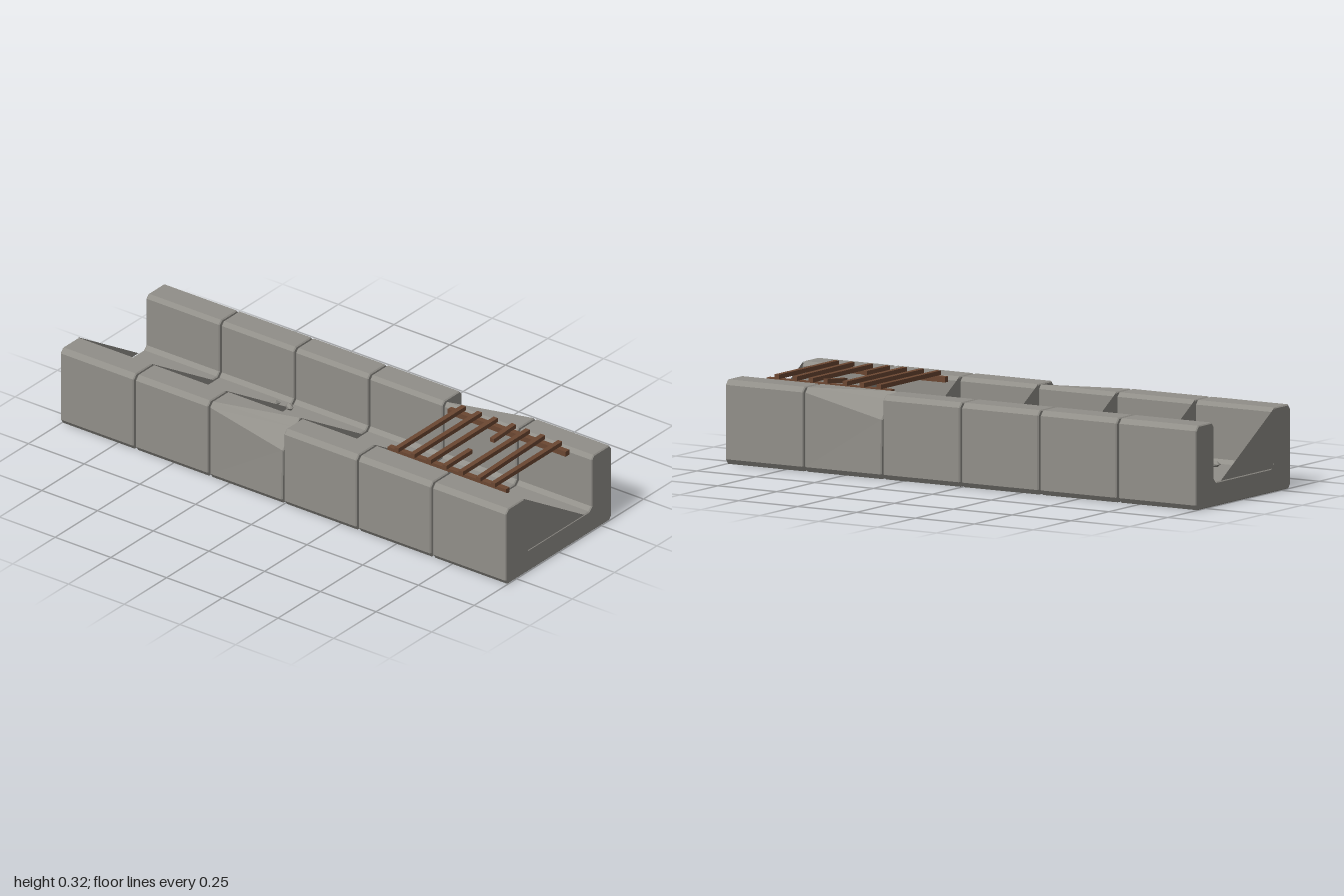
import * as THREE from 'three';

const concrete = new THREE.MeshStandardMaterial({ color: 0x918f89, side: THREE.DoubleSide, flatShading: true });
concrete.name = 'concrete';
const rust = new THREE.MeshStandardMaterial({ color: 0x6b4732, flatShading: true });
rust.name = 'rustyIron';

const COUNT = 6, PITCH = 2 / COUNT, GAP = 0.008, BEVEL = 0.004;

// Channel cross-section as [z, y], chamfered at the corners
const PROFILE = [
  [0.300, 0], [0.313, 0.018], [0.313, 0.287], [0.297, 0.305], [0.207, 0.305], [0.194, 0.290],
  [0.194, 0.102], [0.180, 0.087], [-0.180, 0.087], [-0.194, 0.102], [-0.194, 0.290],
  [-0.207, 0.305], [-0.297, 0.305], [-0.313, 0.287], [-0.313, 0.018], [-0.300, 0],
];

function segmentGeometry(x0, x1, chip) {
  // shape x is -z, so that turning it lays the extrusion along x
  const shape = new THREE.Shape(PROFILE.map(([z, y]) => new THREE.Vector2(-z, y)));
  const geo = new THREE.ExtrudeGeometry(shape, {
    depth: x1 - x0 - 2 * BEVEL, steps: 1, bevelEnabled: true, bevelSegments: 1,
    bevelThickness: BEVEL, bevelSize: BEVEL, bevelOffset: -BEVEL,
  });
  geo.rotateY(Math.PI / 2);
  geo.translate(x0 + BEVEL, 0, 0);
  if (chip) {
    // Knock down the outer top edge at one end of the block
    const p = geo.attributes.position;
    for (let i = 0; i < p.count; i++) {
      const x = p.getX(i), y = p.getY(i), z = p.getZ(i) * chip.side;
      if (Math.abs(x - chip.x) > 0.02 || z < 0.25 || y < 0.25) continue;
      const top = y > 0.294;
      p.setY(i, y - (top ? 0.025 : 0.072));
      p.setZ(i, (z - (top ? chip.inset : 0.006)) * chip.side);
    }
    geo.computeVertexNormals();
  }
  return geo;
}

// Thin sloped gusset sheet closing part of each block end
function gussetGeometry(x) {
  const geo = new THREE.BufferGeometry();
  geo.setAttribute('position', new THREE.Float32BufferAttribute(
    [x, 0.305, 0.205, x, 0.087, 0.196, x, 0.087, -0.150], 3));
  geo.computeVertexNormals();
  return geo;
}

function addMesh(parent, name, geo, material) {
  const mesh = new THREE.Mesh(geo, material);
  mesh.name = name;
  parent.add(mesh);
  return mesh;
}

function addBox(parent, name, size, position) {
  const mesh = addMesh(parent, name, new THREE.BoxGeometry(...size), rust);
  mesh.position.set(...position);
  return mesh;
}

export function createModel() {
  const model = new THREE.Group();
  model.name = 'drainageChannel';

  // Concrete blocks, two of them chipped
  const chips = {
    2: { x: 0, side: 1, inset: 0.06 },
    4: { x: 1 / 3, side: -1, inset: 0.048 },
  };
  const channel = new THREE.Group();
  channel.name = 'channel';
  model.add(channel);
  for (let i = 0; i < COUNT; i++) {
    const x0 = -1 + i * PITCH + (i > 0 ? GAP / 2 : 0);
    const x1 = -1 + (i + 1) * PITCH - (i < COUNT - 1 ? GAP / 2 : 0);
    addMesh(channel, 'channelBlock', segmentGeometry(x0, x1, chips[i]), concrete);
    for (const x of [x0, x1]) addMesh(channel, 'endGusset', gussetGeometry(x), concrete);
  }

  // Rusty grate: two rails below, bars across
  const grate = new THREE.Group();
  grate.name = 'grate';
  model.add(grate);
  for (const z of [0.177, -0.176]) addBox(grate, 'grateRail', [0.53, 0.02, 0.022], [0.64, 0.295, z]);
  for (const x of [0.423, 0.495, 0.567, 0.711, 0.784, 0.856]) {
    const bar = addBox(grate, 'grateBar', [0.019, 0.016, 0.396], [x, 0.313, 0.001]);
    if (x === 0.784) bar.rotation.y = 0.025;
  }
  // Snapped bar: a level front piece and a sagging rear stub
  addBox(grate, 'brokenBarFront', [0.019, 0.016, 0.154], [0.638, 0.313, 0.122]);
  const stub = addBox(grate, 'brokenBarRear', [0.019, 0.016, 0.120], [0.645, 0.309, -0.137]);
  stub.rotation.set(0.09, -0.06, 0);

  // Rubble on the channel floor: x, z, half length, half width, turn
  const rubble = [
    [-0.798, 0.108, 0.035, 0.021, 0.1], [-0.723, 0.136, 0.019, 0.015, 0.8],
    [-0.377, -0.118, 0.040, 0.020, 1.4], [-0.317, -0.143, 0.021, 0.014, -0.5],
    [0.210, -0.105, 0.019, 0.014, 0.9], [0.070, 0.121, 0.031, 0.018, 0.2],
  ];
  for (const [x, z, a, b, turn] of rubble) {
    const stone = addMesh(model, 'rubble', new THREE.IcosahedronGeometry(1, 0), concrete);
    stone.scale.set(a, 0.014, b);
    stone.position.set(x, 0.097, z);
    stone.rotation.y = turn;
  }
  return model;
}
